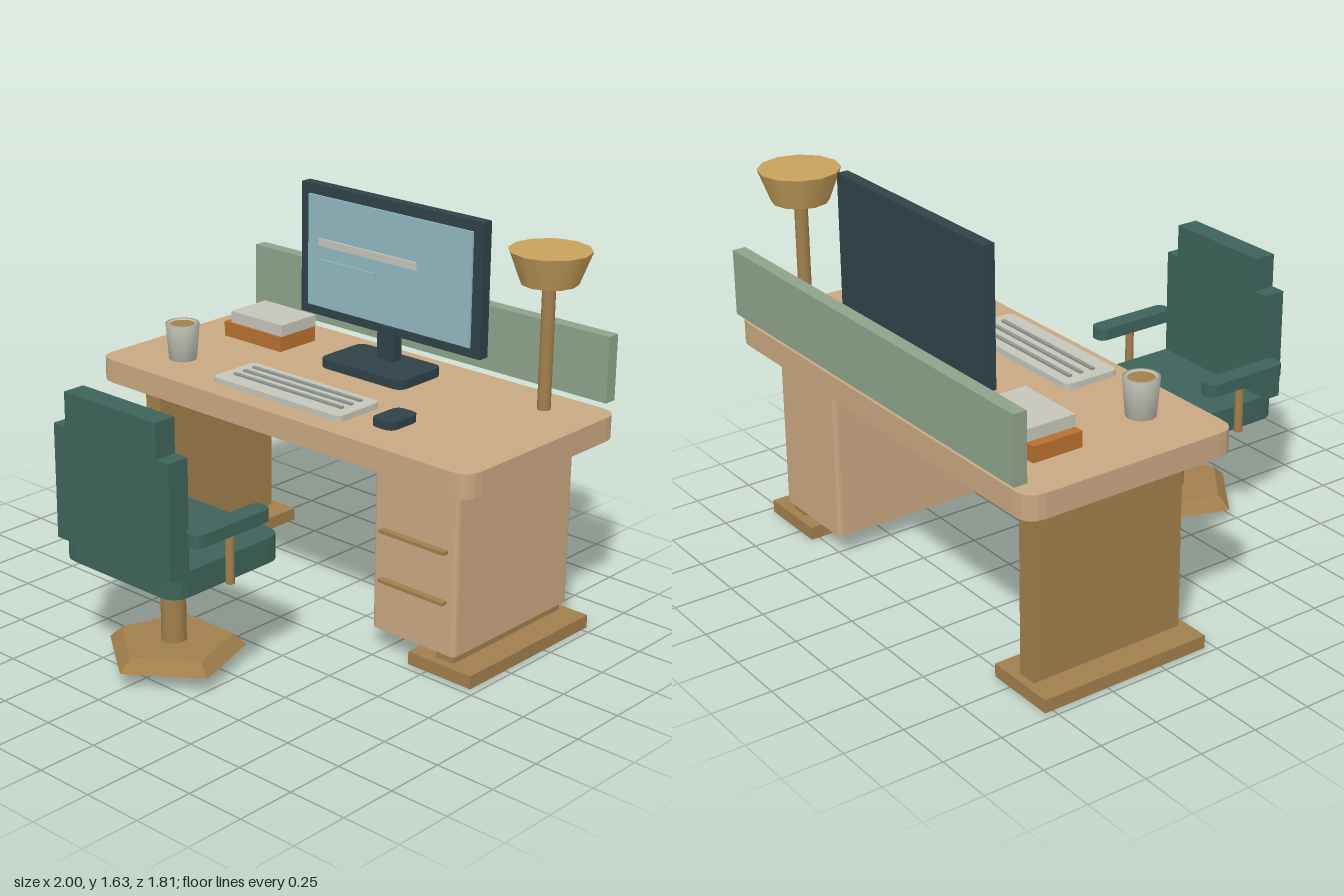
import * as THREE from 'three';

const mat = (name, color) => new THREE.MeshStandardMaterial({ name, color });

export function createModel() {
  const lightWood = mat('light wood', 0xc8a882);
  const darkWood = mat('dark wood', 0xa17f4c);
  const brass = mat('lamp brass', 0xc8a15c);
  const slate = mat('dark slate', 0x2f4248);
  const chairGreen = mat('chair green', 0x3d645a);
  const sage = mat('sage panel', 0x8ea38b);
  const glass = mat('screen blue', 0x8fb8c0);
  const cream = mat('cream', 0xc5c5b8);
  const orange = mat('orange cover', 0xb8702e);
  const grey = mat('key grey', 0x8f9694);

  const root = new THREE.Group();
  root.name = 'workstation';
  const group = (name) => {
    const g = new THREE.Group();
    g.name = name;
    root.add(g);
    return g;
  };
  const add = (parent, name, geo, material) => {
    const m = new THREE.Mesh(geo, material);
    m.name = name;
    parent.add(m);
    return m;
  };

  // Box given by its limits on each axis
  const box = (parent, name, material, [x0, x1], [y0, y1], [z0, z1]) =>
    add(parent, name, new THREE.BoxGeometry(x1 - x0, y1 - y0, z1 - z0), material)
      .position.set((x0 + x1) / 2, (y0 + y1) / 2, (z0 + z1) / 2);

  // Box with rounded vertical edges
  const slab = (parent, name, material, [x0, x1], [y0, y1], [z0, z1], r) => {
    const a = (x1 - x0) / 2, b = (z1 - z0) / 2;
    const s = new THREE.Shape();
    s.moveTo(-a + r, -b);
    s.lineTo(a - r, -b);
    s.quadraticCurveTo(a, -b, a, -b + r);
    s.lineTo(a, b - r);
    s.quadraticCurveTo(a, b, a - r, b);
    s.lineTo(-a + r, b);
    s.quadraticCurveTo(-a, b, -a, b - r);
    s.lineTo(-a, -b + r);
    s.quadraticCurveTo(-a, -b, -a + r, -b);
    const geo = new THREE.ExtrudeGeometry(s, { depth: y1 - y0, bevelEnabled: false, curveSegments: 4 });
    geo.rotateX(-Math.PI / 2);
    add(parent, name, geo, material).position.set((x0 + x1) / 2, y0, (z0 + z1) / 2);
  };

  // Upright cylinder or cone between two heights
  const post = (parent, name, material, rTop, rBottom, [y0, y1], x, z, sides = 20, flat = false) => {
    let geo = new THREE.CylinderGeometry(rTop, rBottom, y1 - y0, sides);
    if (flat) {
      geo = geo.toNonIndexed();
      geo.computeVertexNormals();
    }
    add(parent, name, geo, material).position.set(x, (y0 + y1) / 2, z);
  };
  const span = (s, a, b) => (s > 0 ? [a, b] : [-b, -a]);

  // Desk
  const desk = group('desk');
  slab(desk, 'desktop', lightWood, [-1, 1], [0.81, 0.91], [-0.88, 0.06], 0.08);
  for (const s of [1, -1]) {
    const side = s > 0 ? 'left' : 'right';
    box(desk, side + 'Leg', darkWood, span(s, 0.767, 0.853), [0.055, 0.8], [-0.75, -0.07]);
    box(desk, side + 'Foot', darkWood, span(s, 0.657, 0.968), [0, 0.055], [-0.785, -0.035]);
  }
  box(desk, 'backPanel', sage, [-0.957, 0.957], [0.945, 1.22], [-0.907, -0.85]);

  // Drawer cabinet
  const cabinet = group('cabinet');
  slab(cabinet, 'cabinetBody', lightWood, [0.455, 0.872], [0.093, 0.758], [-0.77, -0.05], 0.02);
  for (const y of [0.315, 0.525])
    box(cabinet, 'drawerHandle', darkWood, [0.503, 0.828], [y - 0.007, y + 0.007], [-0.05, -0.022]);

  // Monitor
  const monitor = group('monitor');
  slab(monitor, 'monitorBase', slate, [-0.223, 0.223], [0.915, 0.955], [-0.735, -0.468], 0.045);
  box(monitor, 'monitorNeck', slate, [-0.045, 0.045], [0.95, 1.1], [-0.68, -0.63]);
  box(monitor, 'monitorFrame', slate, [-0.485, 0.485], [1.065, 1.63], [-0.692, -0.643]);
  box(monitor, 'screen', glass, [-0.438, 0.438], [1.107, 1.587], [-0.641, -0.632]);
  box(monitor, 'screenBarLong', cream, [-0.37, 0.163], [1.376, 1.408], [-0.629, -0.62]);
  box(monitor, 'screenBarShort', glass, [-0.37, -0.058], [1.292, 1.318], [-0.629, -0.62]);

  // Keyboard and mouse
  const keyboard = group('keyboard');
  slab(keyboard, 'keyboardBody', cream, [-0.397, 0.3], [0.92, 0.946], [-0.257, -0.015], 0.03);
  for (const z of [-0.204, -0.149, -0.094])
    box(keyboard, 'keyRow', grey, [-0.345, 0.247], [0.946, 0.954], [z - 0.008, z + 0.008]);
  slab(root, 'mouse', slate, [0.42, 0.532], [0.933, 0.965], [-0.222, -0.055], 0.04);

  // Mug with drink
  const mug = group('mug');
  const mugProfile = [[0, 0.915], [0.059, 0.915], [0.072, 1.07], [0.054, 1.07], [0.053, 1.055]];
  const mugGeo = new THREE.LatheGeometry(mugProfile.map(([x, y]) => new THREE.Vector2(x, y)), 20);
  add(mug, 'mugBody', mugGeo, cream).position.set(-0.713, 0, -0.157);
  post(mug, 'drink', darkWood, 0.053, 0.053, [1.05, 1.066], -0.713, -0.157);

  // Stacked books
  const books = group('books');
  box(books, 'lowerBook', orange, [-0.8, -0.467], [0.915, 0.98], [-0.71, -0.493]);
  box(books, 'upperBook', cream, [-0.763, -0.463], [0.983, 1.033], [-0.708, -0.497]);

  // Lamp
  const lamp = group('lamp');
  post(lamp, 'lampPole', darkWood, 0.027, 0.027, [0.92, 1.45], 0.775, -0.69);
  post(lamp, 'lampShade', brass, 0.165, 0.115, [1.438, 1.57], 0.775, -0.69, 12);

  // Chair
  const chair = group('chair');
  slab(chair, 'seat', chairGreen, [-0.31, 0.31], [0.463, 0.567], [0.313, 0.888], 0.075);
  box(chair, 'backrest', chairGreen, [-0.31, 0.31], [0.55, 1.015], [0.81, 0.905]);
  box(chair, 'headrest', chairGreen, [-0.245, 0.245], [1.015, 1.155], [0.81, 0.905]);
  post(chair, 'chairColumn', darkWood, 0.05, 0.05, [0.11, 0.465], 0, 0.6);
  post(chair, 'chairBase', darkWood, 0.233, 0.287, [0.067, 0.117], 0, 0.6, 5, true);
  for (const s of [1, -1]) {
    const side = s > 0 ? 'left' : 'right';
    slab(chair, side + 'Armrest', chairGreen, span(s, 0.316, 0.396), [0.688, 0.74], [0.46, 0.848], 0.038);
    post(chair, side + 'ArmPost', darkWood, 0.018, 0.018, [0.48, 0.69], s * 0.356, 0.645, 12);
  }

  return root;
}
